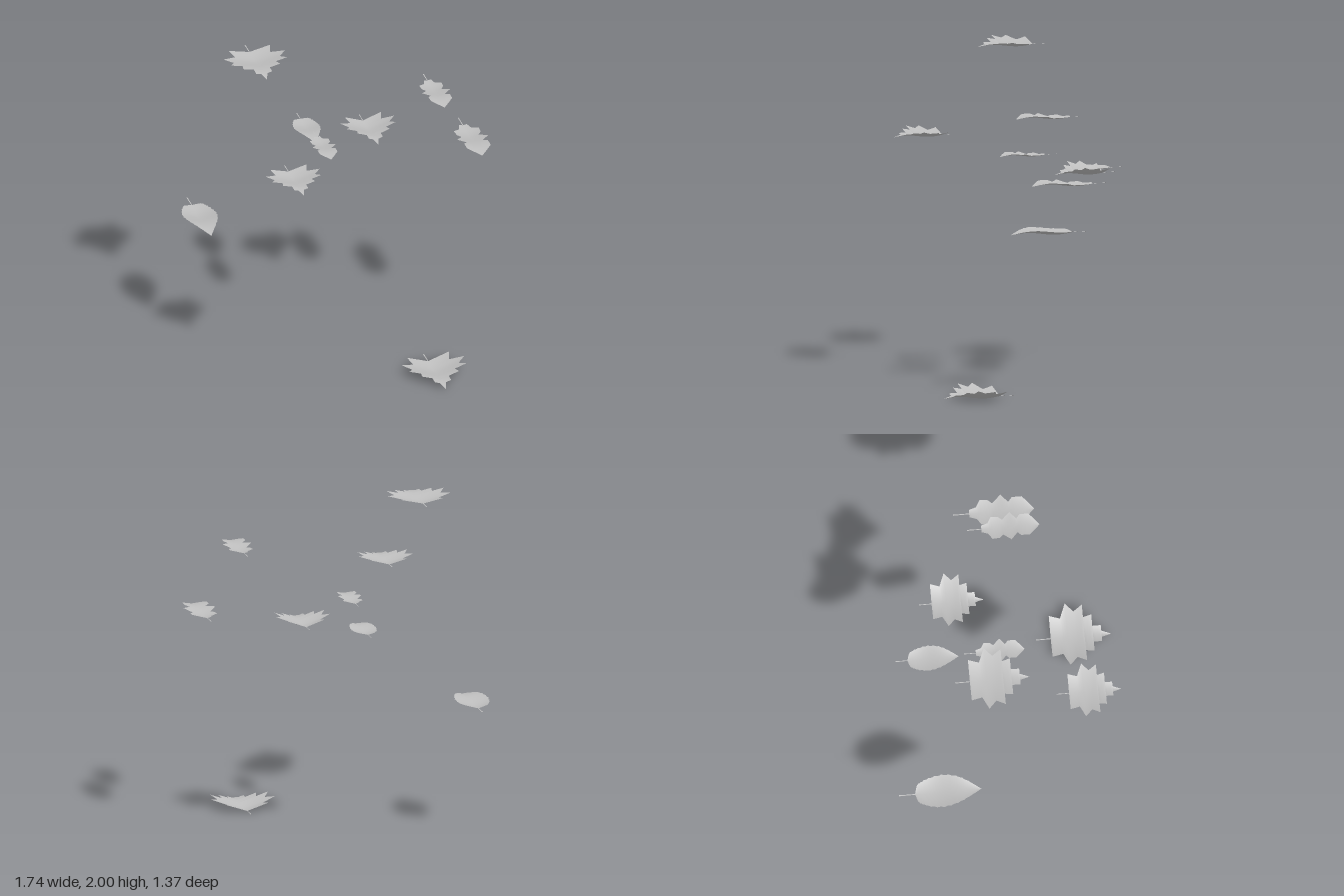
import * as THREE from 'three';

// Half outlines as [t, halfWidth] from base (t = 0) to tip (t = 1), in leaf lengths
const MAPLE = [
  [0, 0.03], [0, 0.36], [0.18, 0.31], [0.28, 0.54], [0.41, 0.4], [0.56, 0.49], [0.56, 0.29],
  [0.7, 0.32], [0.7, 0.14], [0.84, 0.14], [0.84, 0.055], [1, 0],
];
const OAK = [
  [0, 0.06], [0.11, 0.095], [0.175, 0.2], [0.3, 0.19], [0.365, 0.135], [0.5, 0.25],
  [0.61, 0.125], [0.67, 0.19], [0.82, 0.19], [0.91, 0.1], [1, 0],
];
// Smooth oval whose rim is finely scalloped
const ovalCurve = new THREE.SplineCurve([
  [0, 0], [0.04, 0.13], [0.1, 0.175], [0.22, 0.225], [0.42, 0.255], [0.63, 0.215], [0.81, 0.125], [1, 0],
].map(([t, w]) => new THREE.Vector2(t, w)));
const OVAL = ovalCurve.getPoints(42).map((p, i) =>
  [Math.min(1, Math.max(0, p.x)), Math.max(0, p.y) * (i % 3 === 0 ? 1.03 : 0.98)]);

// Stem rows, then the blade with each step of the outline subdivided
function leafRows(outline) {
  const rows = [[-0.245, 0.009], [-0.12, 0.007], [0, 0.007]];
  outline.forEach(([t, w], i) => {
    if (i > 0) {
      const [t0, w0] = outline[i - 1];
      const n = Math.max(1, Math.round((t - t0) / 0.04));
      for (let k = 1; k < n; k++) rows.push([t0 + (t - t0) * k / n, w0 + (w - w0) * k / n]);
    }
    rows.push([t, w]);
  });
  return rows;
}

// Folded along the midrib, with a gentle wave from base to tip
function leafGeometry(outline, length, fold) {
  const pos = [], index = [];
  const rows = leafRows(outline);
  rows.forEach(([t, w], i) => {
    const wave = t > 0 ? -0.025 * Math.sin(2 * Math.PI * t) : 0;
    for (const side of [-1, 0, 1]) {
      pos.push(side * w * length, (wave + 0.025 + fold * w * Math.abs(side)) * length, t * length);
    }
    if (i < rows.length - 1) {
      const a = i * 3;
      for (const j of [a, a + 1]) index.push(j, j + 3, j + 1, j + 1, j + 3, j + 4);
    }
  });
  const geo = new THREE.BufferGeometry();
  geo.setAttribute('position', new THREE.Float32BufferAttribute(pos, 3));
  geo.setIndex(index);
  geo.computeVertexNormals();
  return geo;
}

export function createModel() {
  const group = new THREE.Group();
  group.name = 'fallingLeaves';
  const leafGrey = new THREE.MeshStandardMaterial({ color: 0xbfbfbf, side: THREE.DoubleSide });
  leafGrey.name = 'leafGrey';

  // name, outline, length, fold slope, x, lowest y, z of the blade base
  const leaves = [
    ['mapleLeaf', MAPLE, 0.355, 0.22, -0.52, 1.95, -0.253],
    ['mapleLeaf', MAPLE, 0.31, 0.27, -0.463, 1.447, 0.343],
    ['mapleLeaf', MAPLE, 0.31, 0.36, 0.234, 1.278, -0.412],
    ['mapleLeaf', MAPLE, 0.36, 0.34, 0.413, 0, 0.314],
    ['ovalLeaf', OVAL, 0.395, 0.27, -0.77, 0.767, -0.602],
    ['ovalLeaf', OVAL, 0.305, 0.23, -0.1, 1.252, -0.586],
    ['oakLeaf', OAK, 0.347, 0.22, 0.534, 1.671, -0.088],
    ['oakLeaf', OAK, 0.388, 0.22, 0.771, 1.3, -0.139],
    ['oakLeaf', OAK, 0.29, 0.23, -0.124, 1.348, -0.181],
  ];
  leaves.forEach(([name, outline, length, fold, x, y, z], i) => {
    const leaf = new THREE.Mesh(leafGeometry(outline, length, fold), leafGrey);
    leaf.name = `${name}${i + 1}`;
    leaf.position.set(x, y, z);
    group.add(leaf);
  });
  return group;
}
